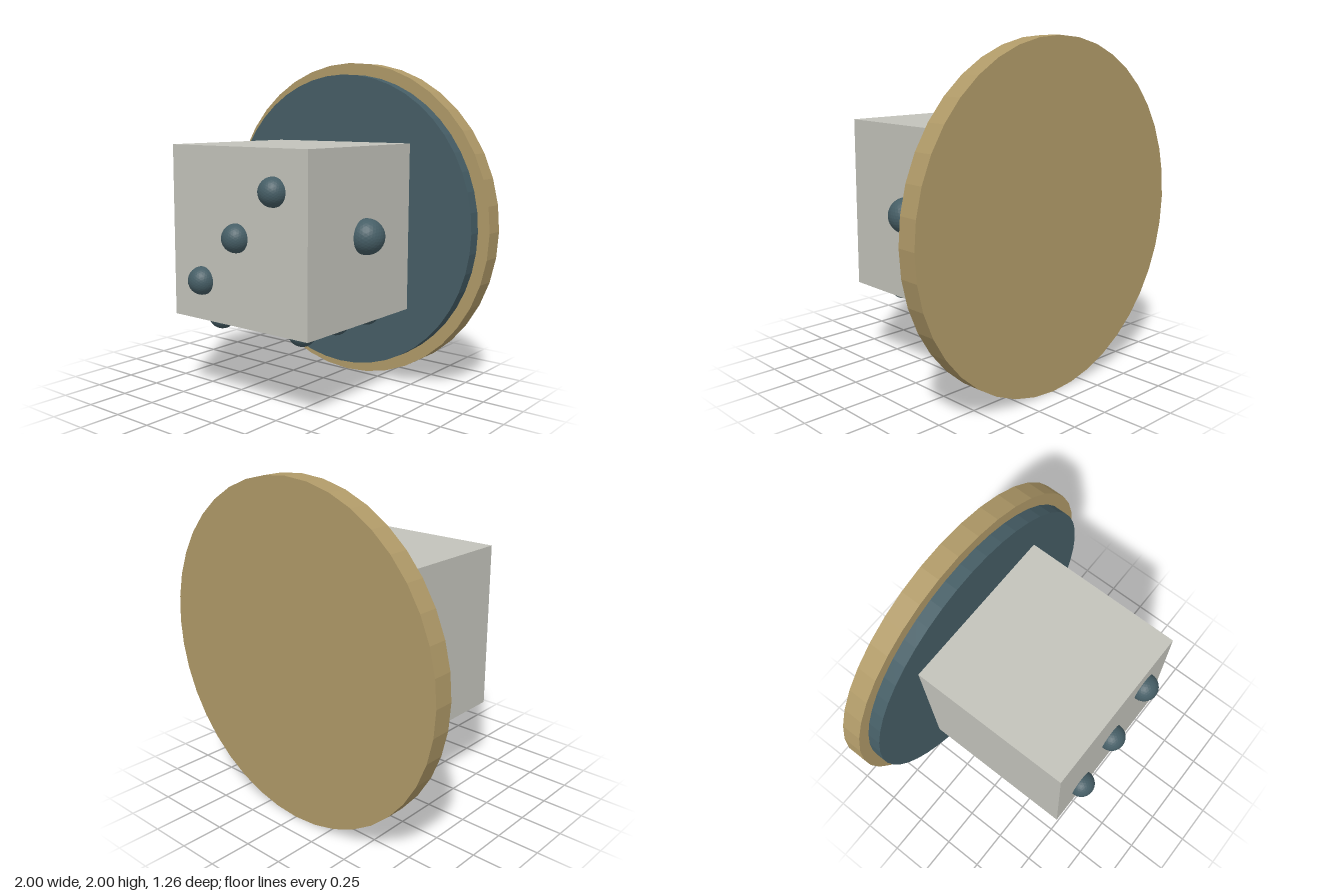
import * as THREE from 'three';

export function createModel() {
  const model = new THREE.Group();
  const material = (name, color) => {
    const m = new THREE.MeshStandardMaterial({ color, flatShading: true });
    m.name = name;
    return m;
  };
  const stone = material('pale stone', 0xc3c3bb);
  const brass = material('brass', 0xb09a68);
  const slate = material('slate blue', 0x465e66);

  const add = (name, geometry, mat, x, y, z) => {
    const mesh = new THREE.Mesh(geometry, mat);
    mesh.name = name;
    mesh.position.set(x, y, z);
    model.add(mesh);
    return mesh;
  };

  // Upright round backing: wide rim plate with a smaller plate in front
  const disc = (radius, depth, sides) =>
    new THREE.CylinderGeometry(radius, radius, depth, sides).rotateX(Math.PI / 2);
  add('rimPlate', disc(1, 0.12, 40), brass, 0, 1, -0.57);
  add('innerPlate', disc(0.926, 0.08, 48), slate, 0, 1, -0.47);

  // Cube set against the inner plate
  add('cube', new THREE.BoxGeometry(1.01, 1.01, 1.01), stone, 0, 1.003, 0.033);

  // Raised pips: three on the front, one on the left, six underneath
  const pip = new THREE.IcosahedronGeometry(0.083, 5);
  for (const i of [-1, 0, 1]) {
    add('frontPip', pip, slate, i * 0.273, 1.003 + i * 0.273, 0.543);
    for (const side of [-1, 1]) {
      add('bottomPip', pip, slate, side * 0.31, 0.483, 0.033 + i * 0.31);
    }
  }
  add('sidePip', new THREE.IcosahedronGeometry(0.104, 5), slate, 0.522, 1.003, 0.033);

  return model;
}
